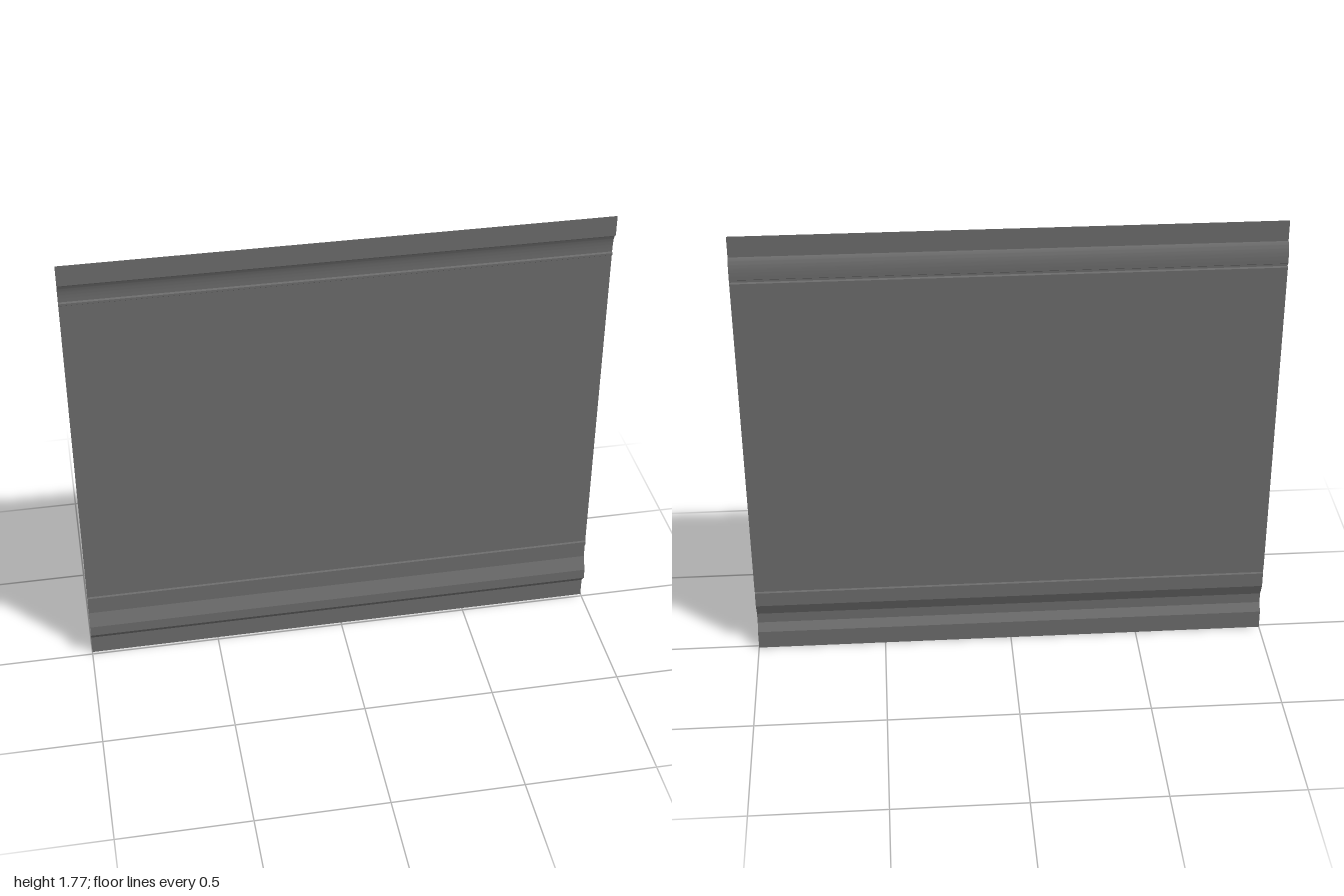
import * as THREE from 'three';
import { toCreasedNormals } from 'three/addons/utils/BufferGeometryUtils.js';

const FRONT = 0.012, BACK = -0.012, RIB = -0.006;

const panelGrey = new THREE.MeshStandardMaterial({ color: 0x6a6a6a, side: THREE.DoubleSide });
panelGrey.name = 'panelGrey';

// Sheet strip spanning the full width, following [y, z] points from top to bottom
function strip(name, profile) {
  const geo = new THREE.PlaneGeometry(2, 1, 1, profile.length - 1);
  const pos = geo.attributes.position;
  profile.forEach(([y, z], row) => {
    for (let col = 0; col < 2; col++) {
      const i = row * 2 + col;
      pos.setXYZ(i, pos.getX(i), y, z);
    }
  });
  const mesh = new THREE.Mesh(toCreasedNormals(geo, 0.3), panelGrey);
  mesh.name = name;
  return mesh;
}

// Small pressed rib
const rib = (top, bottom) => [
  [top, BACK], [top - 0.004, RIB], [bottom + 0.004, RIB], [bottom, BACK],
];

// Concave quarter ellipse from the front plane down to the back plane
function cove(top, bottom, steps = 16) {
  return Array.from({ length: steps + 1 }, (_, i) => {
    const a = (i / steps) * Math.PI / 2;
    return [top - (top - bottom) * (1 - Math.cos(a)), FRONT - (FRONT - BACK) * Math.sin(a)];
  });
}

export function createModel() {
  const group = new THREE.Group();
  group.name = 'wallPanel';
  group.add(
    strip('topFlange', [[1.77, FRONT], [1.69, FRONT]]),
    strip('topCove', cove(1.69, 1.625)),
    strip('upperBand', [[1.625, BACK], [1.612, BACK]]),
    strip('upperRib', rib(1.612, 1.596)),
    strip('mainField', [[1.596, BACK], [0.28, BACK]]),
    strip('lowerRib', rib(0.28, 0.26)),
    strip('lowerBand', [[0.26, BACK], [0.2, BACK]]),
    // Raised moulding above the bottom edge
    strip('lowerMoulding', [[0.2, BACK], [0.147, FRONT], [0.105, FRONT], [0.075, BACK]]),
    strip('bottomFlange', [[0.075, BACK], [0, BACK]]),
  );
  return group;
}
